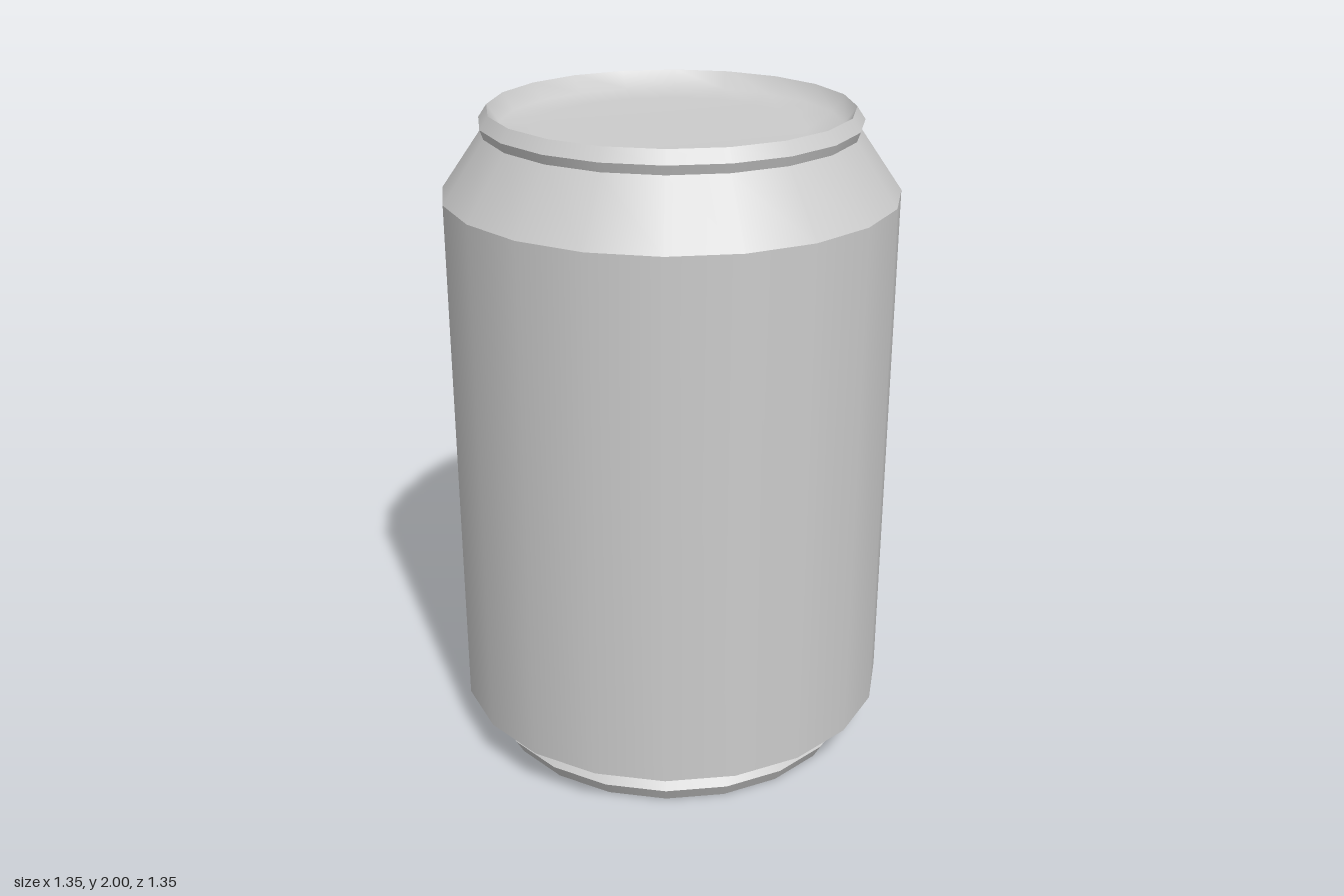
import * as THREE from 'three';

const SIDES = 20;

export function createModel() {
  const can = new THREE.Group();
  can.name = 'drinkCan';
  const material = new THREE.MeshStandardMaterial({ color: 0xcccccc });

  // Each band is turned on its own so the edges between bands stay sharp.
  // Profiles are [radius, height], running from the base centre up to the lid centre.
  function band(name, profile) {
    const points = profile.map(([r, y]) => new THREE.Vector2(r, y));
    const mesh = new THREE.Mesh(new THREE.LatheGeometry(points, SIDES), material);
    mesh.name = name;
    can.add(mesh);
  }

  // Domed underside and foot
  band('baseDome', [[0, 0.19], [0.43, 0.14]]);
  band('baseInnerWall', [[0.43, 0.14], [0.53, 0.015]]);
  band('footRim', [[0.53, 0.015], [0.57, 0]]);
  band('footBand', [[0.57, 0], [0.595, 0.045]]);
  band('footLedge', [[0.595, 0.045], [0.575, 0.072]]);
  band('lowerTaper', [[0.575, 0.072], [0.675, 0.14]]);

  // Side wall and shoulder
  band('body', [[0.675, 0.14], [0.675, 1.755]]);
  band('shoulder', [[0.675, 1.755], [0.55, 1.935]]);

  // Top rim and recessed lid
  band('rimLower', [[0.55, 1.935], [0.56, 1.963]]);
  band('rimUpper', [[0.56, 1.963], [0.535, 2]]);
  band('lid', [[0.535, 2], [0.5, 1.95], [0.4, 1.938], [0, 1.938]]);

  return can;
}
